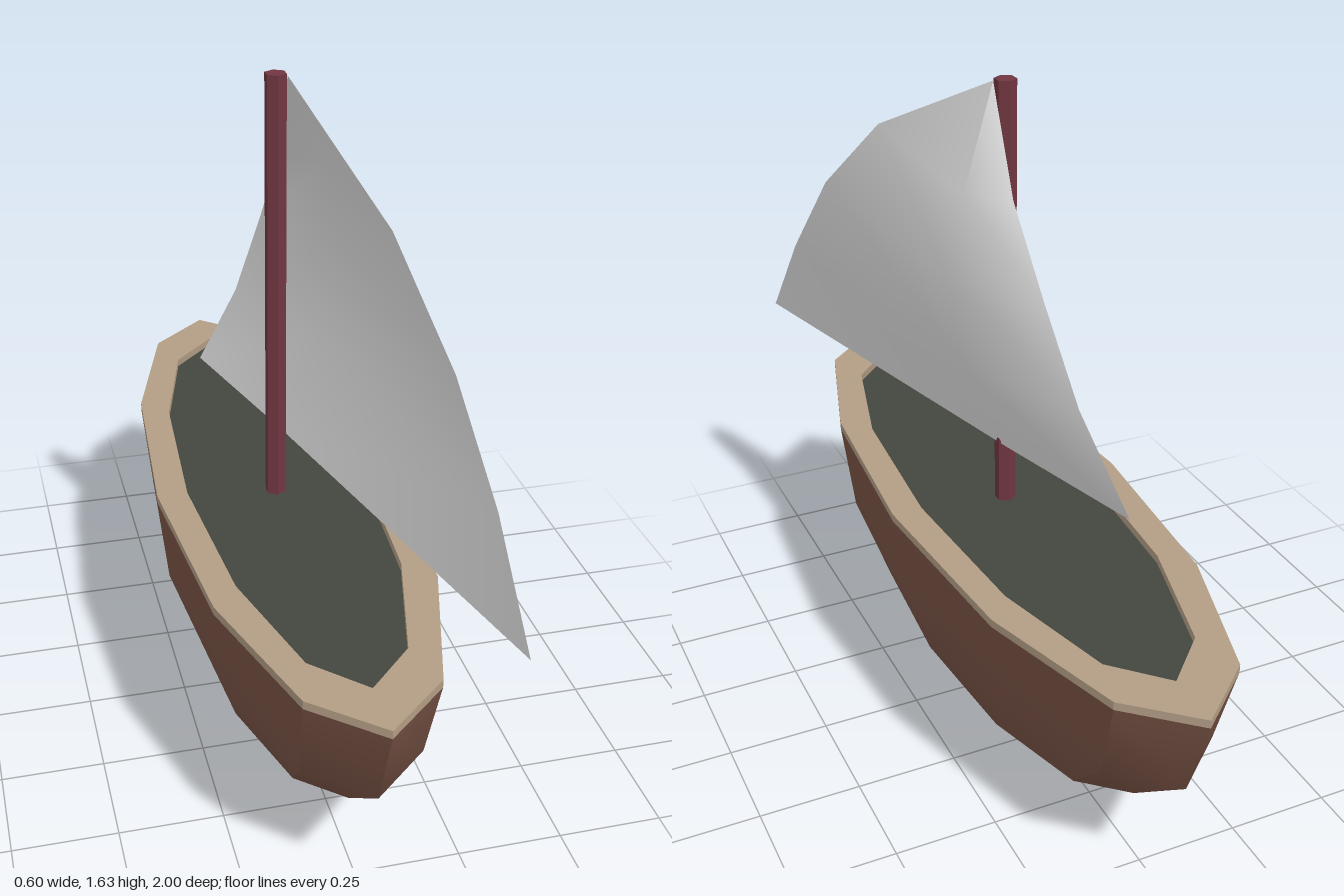
import * as THREE from 'three';
import { toCreasedNormals } from 'three/addons/utils/BufferGeometryUtils.js';

const CENTRE_Z = -0.01;
const CREASE = Math.PI / 6;

function material(name, color) {
  const m = new THREE.MeshStandardMaterial({ color });
  m.name = name;
  return m;
}

// Twelve-sided oval outline used by the rim and the deck
function oval(PathType, rx, rz) {
  const points = [];
  for (let i = 0; i < 12; i++) {
    const a = (i / 12) * Math.PI * 2;
    points.push(new THREE.Vector2(rx * Math.cos(a), rz * Math.sin(a)));
  }
  return new PathType(points);
}

// Sail sheet from rows of three points: luff, belly, leech
function sailGeometry() {
  const rows = [
    [[-0.10, 0.73, -0.465], [0.012, 0.73, -0.05], [0.27, 0.73, 1.0]],
    [[-0.025, 0.97, -0.35], [0.12, 0.97, -0.05], [0.25, 0.97, 0.83]],
    [[0.015, 1.2, -0.245], [0.155, 1.2, -0.05], [0.205, 1.2, 0.67]],
    [[0.04, 1.4, -0.14], [0.125, 1.4, -0.06], [0.14, 1.42, 0.43]],
    [[0.025, 1.63, 0], [0.025, 1.63, 0], [0.025, 1.63, 0]],
  ];
  const index = [];
  for (let i = 0; i < rows.length - 1; i++) {
    for (let j = 0; j < 2; j++) {
      const a = i * 3 + j, b = a + 3, c = b + 1, d = a + 1;
      if (i < rows.length - 2) index.push(a, b, c); // the last row meets in one point
      index.push(a, c, d);
    }
  }
  const g = new THREE.BufferGeometry();
  g.setAttribute('position', new THREE.Float32BufferAttribute(rows.flat(2), 3));
  g.setIndex(index);
  g.computeVertexNormals();
  return g;
}

export function createModel() {
  const boat = new THREE.Group();
  boat.name = 'sailboat';

  const hullBrown = material('hull brown', 0x7a5446);
  const rimTan = material('rim tan', 0xb39e85);
  const deckGrey = material('deck grey', 0x43463f);
  const mastRed = material('mast red', 0x703640);
  const sailWhite = material('sail white', 0xdedede);
  sailWhite.side = THREE.DoubleSide;

  function add(name, geometry, mat, y = 0, z = 0) {
    const mesh = new THREE.Mesh(geometry, mat);
    mesh.name = name;
    mesh.position.set(0, y, z);
    boat.add(mesh);
  }

  // Hull: lower half of a coarse ellipsoid
  const hull = new THREE.SphereGeometry(1, 12, 4, 0, Math.PI * 2, Math.PI / 2, Math.PI / 2);
  hull.scale(0.3, 0.57, 0.99);
  add('hull', toCreasedNormals(hull, CREASE), hullBrown, 0.57, CENTRE_Z);

  // Rim: flat oval ring on top of the hull
  const ring = oval(THREE.Shape, 0.3, 0.99);
  ring.holes.push(oval(THREE.Path, 0.225, 0.85));
  const rim = new THREE.ExtrudeGeometry(ring, { depth: 0.02, bevelEnabled: false });
  rim.rotateX(-Math.PI / 2);
  add('rim', toCreasedNormals(rim, CREASE), rimTan, 0.57, CENTRE_Z);

  // Deck: sunk just below the rim
  const deck = new THREE.ShapeGeometry(oval(THREE.Shape, 0.23, 0.86));
  deck.rotateX(-Math.PI / 2);
  add('deck', deck, deckGrey, 0.568, CENTRE_Z);

  // Mast: six-sided pole
  const mast = new THREE.CylinderGeometry(0.026, 0.026, 1.07, 6);
  add('mast', toCreasedNormals(mast, CREASE), mastRed, 1.1, CENTRE_Z);

  // Sail: billowed sheet swung out to one side
  add('sail', sailGeometry(), sailWhite);

  return boat;
}
